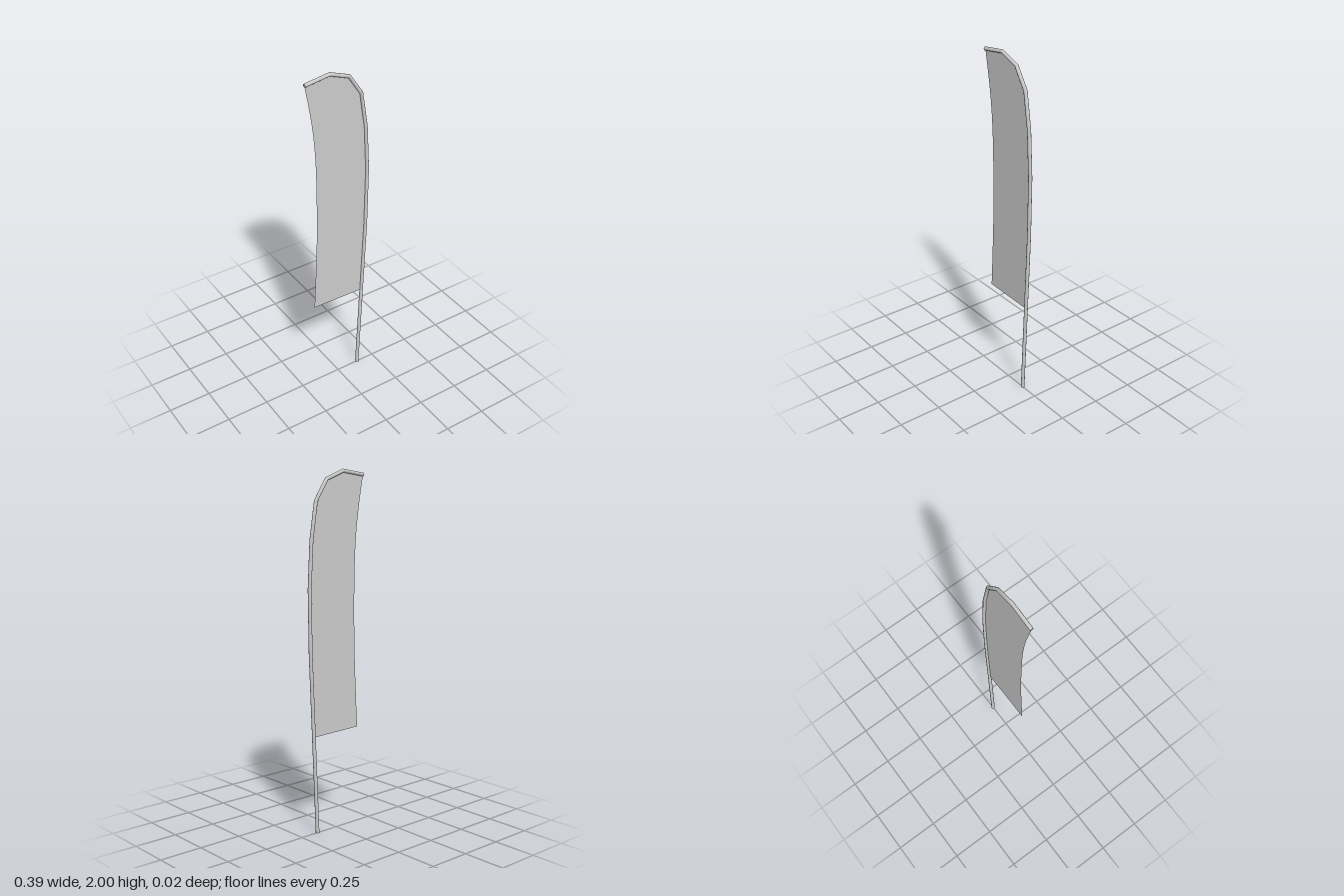
import * as THREE from 'three';

// Pole centre line, from the foot to the tip of the bent top
const POLE = [
  [0.138, 0], [0.162, 0.56], [0.182, 1.02], [0.187, 1.37], [0.173, 1.63],
  [0.141, 1.835], [0.066, 1.947], [-0.05, 1.989], [-0.196, 1.967],
].map(([x, y]) => new THREE.Vector3(x, y, 0));
const RADIUS = 0.0105;
const SIDES = 10;

// Straight segments with mitred corners, one tube ring per point
class Polyline extends THREE.Curve {
  constructor(points) {
    super();
    this.points = points;
  }
  getPoint(t, target = new THREE.Vector3()) {
    const n = this.points.length - 1;
    const i = Math.min(Math.floor(t * n + 1e-6), n - 1);
    return target.lerpVectors(this.points[i], this.points[i + 1], t * n - i);
  }
  getPointAt(t, target) {
    return this.getPoint(t, target);
  }
  getTangentAt(t, target = new THREE.Vector3()) {
    const p = this.points, n = p.length - 1, i = Math.round(t * n);
    target.set(0, 0, 0);
    if (i > 0) target.add(p[i].clone().sub(p[i - 1]).normalize());
    if (i < n) target.add(p[i + 1].clone().sub(p[i]).normalize());
    return target.normalize();
  }
}

export function createModel() {
  const group = new THREE.Group();
  group.name = 'featherFlag';
  const material = new THREE.MeshStandardMaterial({ color: 0xcccccc });
  const clothMaterial = new THREE.MeshStandardMaterial({ color: 0xcccccc, side: THREE.DoubleSide });

  // Bent pole
  const path = new Polyline(POLE);
  const pole = new THREE.Mesh(new THREE.TubeGeometry(path, POLE.length - 1, RADIUS, SIDES), material);
  pole.name = 'pole';
  group.add(pole);

  // Caps closing both pole ends
  for (const [name, t, sign] of [['poleFootCap', 0, -1], ['poleTipCap', 1, 1]]) {
    const cap = new THREE.Mesh(new THREE.CircleGeometry(RADIUS, SIDES), material);
    cap.name = name;
    cap.position.copy(path.getPointAt(t));
    const outward = path.getTangentAt(t).multiplyScalar(sign);
    cap.quaternion.setFromUnitVectors(new THREE.Vector3(0, 0, 1), outward);
    group.add(cap);
  }

  // Cloth: one edge follows the pole, the free edge is a soft curve
  const cloth = new THREE.Shape();
  cloth.moveTo(-0.16, 0.56);
  cloth.lineTo(POLE[1].x, 0.554);
  POLE.slice(2).forEach((p) => cloth.lineTo(p.x, p.y));
  cloth.splineThru([
    [-0.163, 1.78], [-0.143, 1.6], [-0.135, 1.38], [-0.137, 1.05], [-0.147, 0.8], [-0.16, 0.56],
  ].map(([x, y]) => new THREE.Vector2(x, y)));
  const flag = new THREE.Mesh(new THREE.ShapeGeometry(cloth, 3), clothMaterial);
  flag.name = 'flagCloth';
  group.add(flag);

  return group;
}
